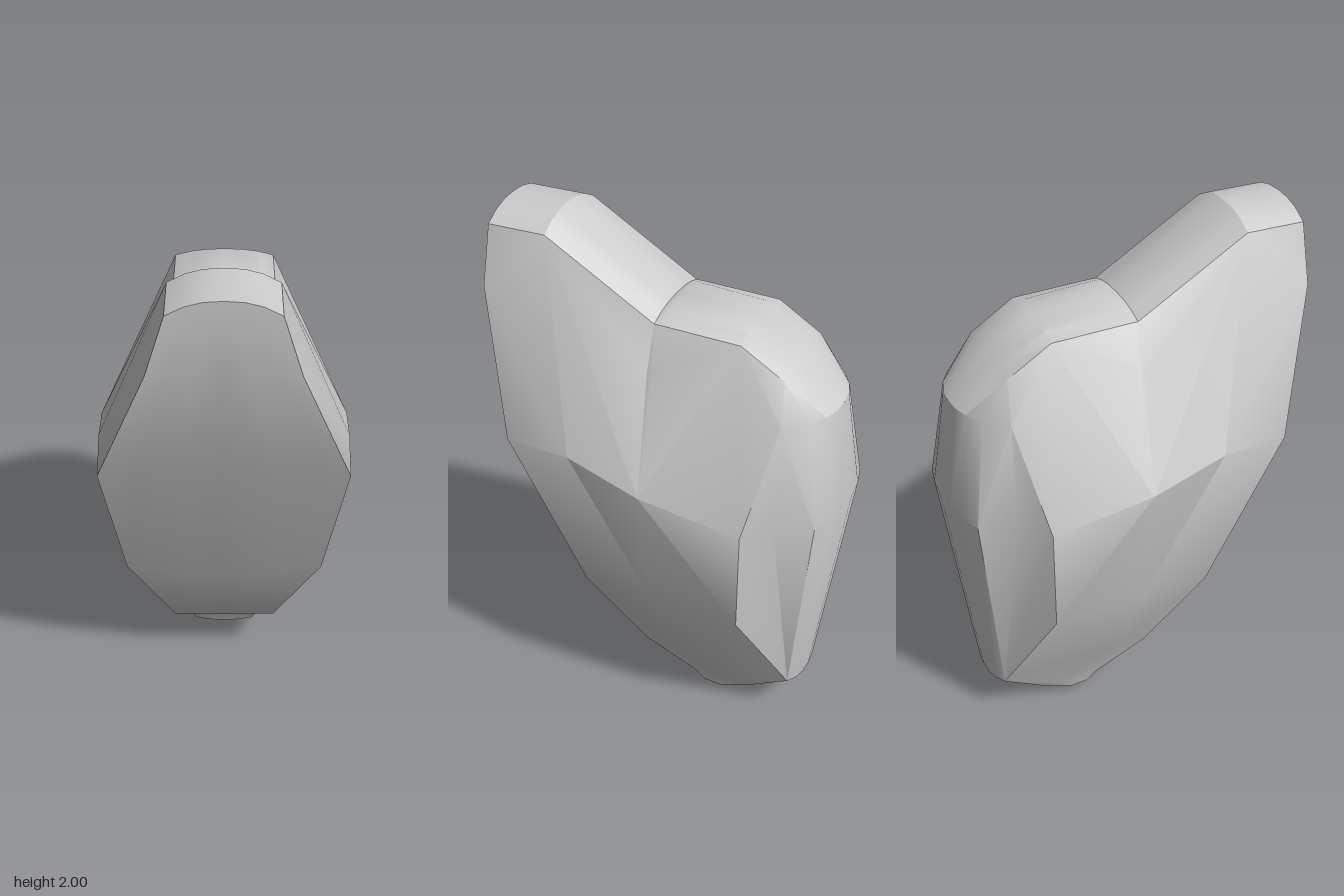
import * as THREE from 'three';
import { toCreasedNormals } from 'three/addons/utils/BufferGeometryUtils.js';

// Stations around the side profile: [centre y, centre z, rim x, rim y, rim z]
const stations = [
  [2, 0.66, 0.18, 1.95, 0.66],        // 0 front lobe, top
  [1.74, 0.66, 0.245, 1.74, 0.66],
  [1.3, 0.52, 0.43, 1.25, 0.5],
  [0.6, 0.24, 0.37, 0.64, 0.24],
  [0.25, 0.07, 0.2, 0.25, 0.07],
  [0.09, -0.12, 0.14, 0.09, -0.12],   // 5 foot
  [0.02, -0.15, 0.12, 0.035, -0.15],
  [0, -0.22, 0.12, 0.03, -0.22],
  [0.02, -0.3, 0.1, 0.05, -0.32],
  [0.18, -0.55, 0.15, 0.2, -0.515],   // 9 back strip, bottom
  [1.06, -0.665, 0.245, 1.06, -0.61],
  [1.45, -0.61, 0.18, 1.45, -0.55],
  [1.62, -0.45, 0.18, 1.59, -0.45],
  [1.715, -0.29, 0.18, 1.69, -0.29],  // 13 back lobe, top
  [1.74, 0, 0.18, 1.70, 0.005],
  [1.73, 0.03, 0.18, 1.70, 0.03],     // 15 groove
  [2, 0.44, 0.18, 1.95, 0.44],
];

// Points inside the flank
const flank = {
  a: [0.445, 1.25, 0.25], c: [0.46, 1.165, -0.03], d: [0.4, 1.06, -0.39],
  e: [0.375, 0.64, -0.03], f: [0.37, 0.63, -0.375], g: [0.2, 0.25, -0.08],
  h: [0.13, 0.08, -0.27], m: [0.25, 1.45, -0.47], n: [0.305, 1.06, -0.48],
  p: [0.26, 1.55, 0.022], q: [0.255, 1.57, 0.003],
};

// Flank facets, each drawn as a fan from its first corner
const facets = [
  '1 2 a', '1 a 16', '0 1 16',                     // front lobe side
  '16 a c p 15', '15 p q 14', 'p c q',             // slope and groove
  '13 14 q c d m 12',                              // back lobe side
  '12 m 11', 'm n 10 11', 'm d n',                 // back shoulder
  '9 10 n', '9 n d', '9 d f',                      // back hollow
  '2 3 e a', 'a e c', 'c e f d',                   // middle
  '3 4 g e', 'e g f', 'g 9 f', 'g h 9',            // lower flank
  '4 5 h g', '5 6 h', '6 7 h', '7 8 h', '8 9 h',   // foot
];

// Point on the domed strip between the centre line and the rim
function stripPoint([cy, cz, x, y, z], t) {
  const k = 1 - Math.pow(t, 2.4);
  return [x * t, y + (cy - y) * k, z + (cz - z) * k];
}

export function createModel() {
  const positions = [];
  // Adds a polygon and its mirror image
  const addFan = (pts) => {
    for (let i = 1; i < pts.length - 1; i++) {
      const tri = [pts[0], pts[i], pts[i + 1]];
      tri.forEach((v) => positions.push(...v));
      tri.reverse().forEach(([x, y, z]) => positions.push(-x, y, z));
    }
  };

  // Domed strip running all the way round the profile
  const columns = [0, 0.35, 0.67, 1];
  stations.forEach((s, i) => {
    const next = stations[(i + 1) % stations.length];
    for (let j = 0; j < columns.length - 1; j++) {
      const [t0, t1] = [columns[j], columns[j + 1]];
      addFan([stripPoint(s, t0), stripPoint(next, t0), stripPoint(next, t1), stripPoint(s, t1)]);
    }
  });

  // Faceted flanks
  const corner = (key) => flank[key] ?? stations[Number(key)].slice(2);
  facets.forEach((facet) => addFan(facet.split(' ').map(corner)));

  const geometry = new THREE.BufferGeometry();
  geometry.setAttribute('position', new THREE.Float32BufferAttribute(positions, 3));
  const body = new THREE.Mesh(
    toCreasedNormals(geometry, 0.5),
    new THREE.MeshStandardMaterial({ color: 0xcccccc })
  );
  body.name = 'lobedBody';

  const group = new THREE.Group();
  group.name = 'lobedForm';
  group.add(body);
  return group;
}
